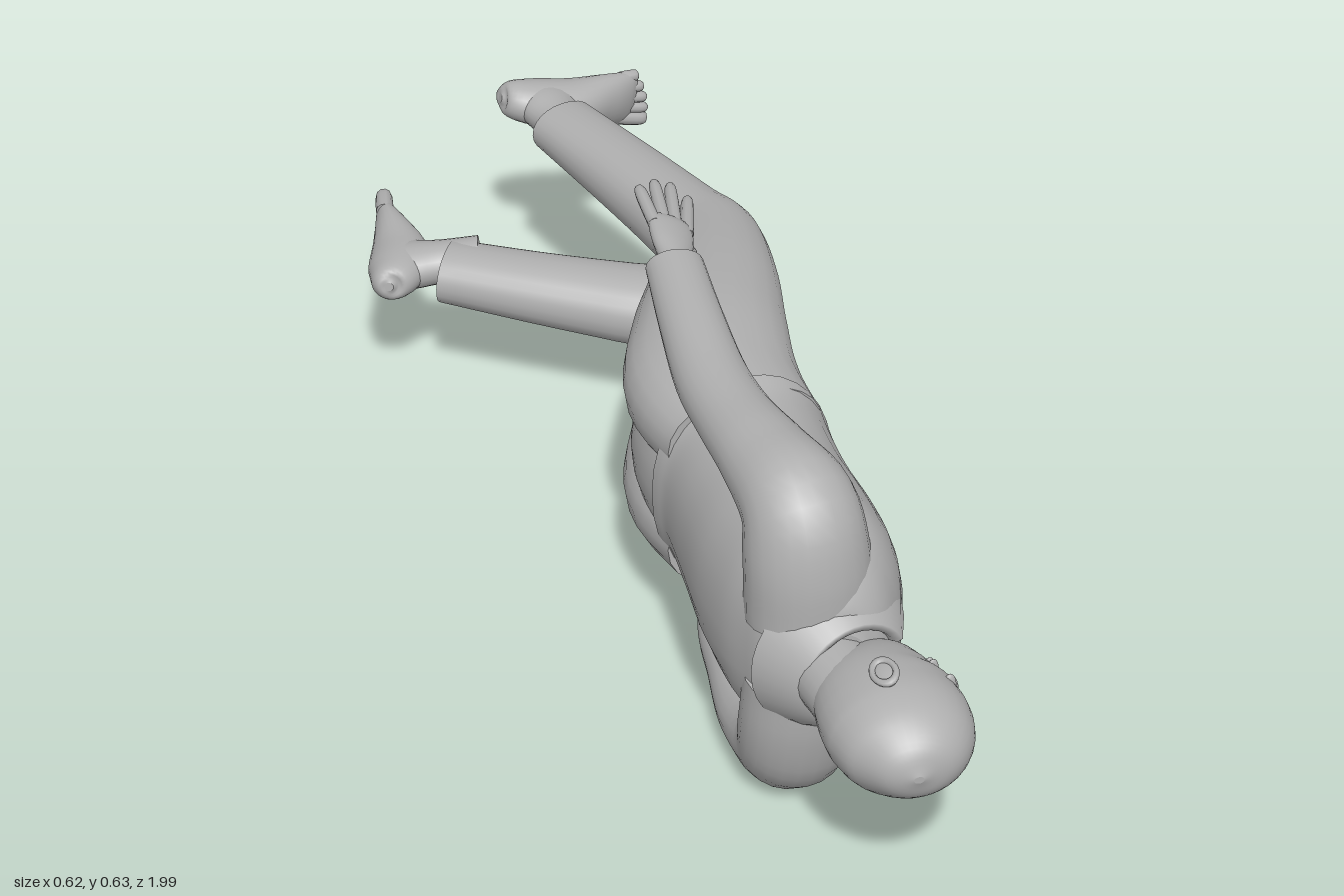
import * as THREE from 'three';

const grey = new THREE.MeshStandardMaterial({ color: 0xb0b0b0 });
grey.name = 'plain grey';
const greyOpen = grey.clone();
greyOpen.side = THREE.DoubleSide;
const V = (x, y, z) => new THREE.Vector3(x, y, z);
const AX = V(1, 0, 0), AY = V(0, 1, 0), AZ = V(0, 0, 1);

function mesh(name, geo, mat = grey) {
  const m = new THREE.Mesh(geo, mat);
  m.name = name;
  return m;
}

// Smooth skin through oval sections [x, y, z, radius along ref, radius across], capped at both ends
function loft(name, st, ref, sides = 24, steps = 5, pw = 1) {
  const path = new THREE.CatmullRomCurve3(st.map(s => V(s[0], s[1], s[2])), false, 'catmullrom');
  const size = new THREE.CatmullRomCurve3(st.map(s => V(s[3], s[4] ?? s[3], 0)), false, 'catmullrom');
  const n = (st.length - 1) * steps, pos = [], idx = [];
  const sp = v => Math.sign(v) * Math.abs(v) ** pw;
  for (let i = 0; i <= n; i++) {
    const c = path.getPoint(i / n), r = size.getPoint(i / n), t = path.getTangent(i / n);
    const u = ref.clone().addScaledVector(t, -ref.dot(t)).normalize(), v = t.clone().cross(u);
    for (let j = 0; j < sides; j++) {
      const a = j / sides * Math.PI * 2;
      const p = c.clone().addScaledVector(u, r.x * sp(Math.cos(a))).addScaledVector(v, r.y * sp(Math.sin(a)));
      pos.push(p.x, p.y, p.z);
      const k = (j + 1) % sides, A = i * sides, B = A + sides;
      if (i < n) idx.push(A + j, A + k, B + j, A + k, B + k, B + j);
    }
  }
  for (const end of [0, n]) {
    const base = pos.length / 3, c = path.getPoint(end / n);
    pos.push(...pos.slice(end * sides * 3, (end + 1) * sides * 3), c.x, c.y, c.z);
    for (let j = 0; j < sides; j++) {
      const k = (j + 1) % sides;
      idx.push(base + sides, base + (end ? j : k), base + (end ? k : j));
    }
  }
  const g = new THREE.BufferGeometry();
  g.setAttribute('position', new THREE.Float32BufferAttribute(pos, 3));
  g.setIndex(idx);
  g.computeVertexNormals();
  return mesh(name, g);
}

function ball(name, x, y, z, a, b, c) {
  const m = mesh(name, new THREE.SphereGeometry(1, 20, 14));
  m.position.set(x, y, z);
  m.scale.set(a, b, c);
  return m;
}

// Finger or toe with a rounded tip
function digit(name, a, b, r) {
  const at = (t, k) => [...a.clone().lerp(b, t).toArray(), r * k];
  return loft(name, [at(0, 1), at(0.5, 1), at(0.88, 0.85), at(1, 0.15)], AY, 10, 3);
}

// Place a group with its +x along dir and its +z nearest to wide
function orient(g, origin, dir, wide) {
  const X = dir.clone().normalize();
  const Z = wide.clone().addScaledVector(X, -wide.dot(X)).normalize();
  g.applyMatrix4(new THREE.Matrix4().makeBasis(X, Z.clone().cross(X), Z).setPosition(origin));
  return g;
}

// Hand: fingers along +x, thumb on +z, palm on the given y side
function makeHand(name, palm) {
  const g = new THREE.Group();
  g.name = name;
  g.add(loft('palm', [[-0.04, 0, 0, 0.026, 0.022], [0, 0, 0, 0.026, 0.02], [0.045, 0, 0, 0.036, 0.019],
    [0.09, 0, 0, 0.039, 0.016], [0.11, 0, 0, 0.034, 0.01]], AZ));
  [0.215, 0.238, 0.23, 0.195].forEach((len, i) => {
    const z = 0.029 - i * 0.019;
    g.add(digit('finger', V(0.085, 0, z), V(len, palm * 0.01, z * 1.6), 0.0112));
  });
  g.add(digit('thumbBase', V(0.015, palm * 0.008, 0.015), V(0.085, palm * 0.03, 0.048), 0.018));
  g.add(digit('thumb', V(0.065, palm * 0.024, 0.039), V(0.13, palm * 0.045, 0.056), 0.0118));
  return g;
}

// Foot: toes along +x, sole down, big toe on the given z side
function makeFoot(name, s) {
  const g = new THREE.Group();
  g.name = name;
  g.add(loft('sole', [[-0.088, -0.083, 0, 0.008], [-0.077, -0.083, 0, 0.03, 0.032], [-0.03, -0.073, 0, 0.039, 0.051],
    [0.04, -0.073, 0, 0.043, 0.051], [0.11, -0.09, 0, 0.051, 0.034], [0.155, -0.104, 0, 0.051, 0.02],
    [0.172, -0.108, 0, 0.044, 0.011]], AZ));
  g.add(loft('ankle', [[0, 0.07, 0, 0.039, 0.044], [-0.003, 0, 0, 0.037, 0.045], [-0.005, -0.05, 0, 0.039, 0.058],
    [0.005, -0.09, 0, 0.035, 0.066]], AZ));
  for (let i = 0; i < 5; i++) {
    const z = s * (0.037 - i * 0.0195);
    g.add(digit('toe', V(0.14, -0.103, z), V(0.21 - i * i * 0.0022, -0.11, z * 1.1), i ? 0.0115 : 0.0155));
  }
  return g;
}

function makeHead() {
  const g = new THREE.Group();
  g.name = 'head';
  g.add(loft('skull', [[0.118, 0.312, 0.7, 0.015, 0.02], [0.108, 0.312, 0.712, 0.036, 0.052], [0.088, 0.312, 0.745, 0.058, 0.08],
    [0.069, 0.312, 0.79, 0.075, 0.102], [0.063, 0.312, 0.84, 0.084, 0.11], [0.061, 0.312, 0.89, 0.086, 0.11],
    [0.055, 0.312, 0.94, 0.074, 0.094], [0.048, 0.312, 0.98, 0.045, 0.055], [0.046, 0.312, 0.997, 0.006, 0.008]], AY, 32));
  g.add(loft('neck', [[-0.005, 0.31, 0.6, 0.075, 0.075], [0.015, 0.31, 0.69, 0.062, 0.064],
    [0.035, 0.31, 0.79, 0.062, 0.072]], AY));
  g.add(loft('nose', [[0.16, 0.312, 0.85, 0.007, 0.008], [0.168, 0.312, 0.82, 0.009, 0.01],
    [0.171, 0.312, 0.8, 0.014, 0.014], [0.162, 0.312, 0.787, 0.011, 0.007]], AY, 12));
  g.add(ball('upperLip', 0.161, 0.312, 0.763, 0.01, 0.022, 0.005));
  g.add(ball('lowerLip', 0.159, 0.312, 0.754, 0.01, 0.019, 0.005));
  for (const s of [-1, 1]) {
    g.add(ball('eye', 0.15, 0.312 + s * 0.034, 0.83, 0.01, 0.013, 0.007));
    g.add(ball('brow', 0.152, 0.312 + s * 0.034, 0.848, 0.011, 0.024, 0.007));
    // Ear: flat lobe with a raised rim, swept outward
    const ear = new THREE.Group();
    ear.name = 'ear';
    ear.add(ball('earLobe', 0, 0, 0, 0.018, 0.007, 0.03));
    const rim = mesh('earRim', new THREE.TorusGeometry(0.017, 0.005, 8, 20));
    rim.rotation.x = Math.PI / 2;
    rim.scale.y = 1.5;
    rim.position.y = s * 0.004;
    ear.add(rim);
    ear.position.set(0.047, 0.31 + s * 0.09, 0.852);
    ear.rotation.z = s * 0.35;
    g.add(ear);
  }
  return g;
}

// Open shirt collar with two pointed flaps
function makeCollar() {
  const g = new THREE.Group();
  g.name = 'collar';
  const profile = [[0.07, 0.015], [0.078, 0.04], [0.09, 0.042], [0.116, 0.005], [0.135, -0.035]].map(p => new THREE.Vector2(...p));
  const ring = mesh('collarBand', new THREE.LatheGeometry(profile, 28, Math.PI / 2 + 0.45, Math.PI * 2 - 0.9), greyOpen);
  ring.rotation.x = Math.PI / 2;
  g.add(ring);
  for (const s of [-1, 1]) {
    const geo = new THREE.BufferGeometry().setFromPoints([
      V(0.08, s * 0.04, 0.04), V(0.105, s * 0.1, -0.01), V(0.138, s * 0.075, -0.07),
      V(0.08, s * 0.04, 0.04), V(0.138, s * 0.075, -0.07), V(0.128, s * 0.015, -0.045)]);
    geo.computeVertexNormals();
    g.add(mesh('collarFlap', geo, greyOpen));
  }
  g.position.set(0.045, 0.305, 0.685);
  g.rotation.y = 0.15;
  return g;
}

export function createModel() {
  const man = new THREE.Group();
  man.name = 'recliningMan';
  man.add(makeHead(), makeCollar());

  // Shirt
  man.add(loft('shirtBody', [[0.064, 0.312, 0.197, 0.193, 0.15], [0.062, 0.312, 0.25, 0.18, 0.144], [0.053, 0.312, 0.35, 0.181, 0.145],
    [0.045, 0.312, 0.47, 0.195, 0.15], [0.04, 0.31, 0.58, 0.21, 0.14], [0.03, 0.31, 0.655, 0.183, 0.112],
    [0.022, 0.31, 0.7, 0.12, 0.08], [0.02, 0.31, 0.715, 0.07, 0.06]], AY, 32, 5, 0.9));
  man.add(loft('leftSleeve', [[0.015, 0.37, 0.625, 0.1, 0.085], [0.01, 0.47, 0.622, 0.097, 0.084], [0.007, 0.535, 0.588, 0.088, 0.086],
    [-0.006, 0.556, 0.49, 0.073, 0.064], [-0.015, 0.558, 0.38, 0.062, 0.055], [-0.015, 0.563, 0.27, 0.058, 0.052],
    [0, 0.583, 0.13, 0.052, 0.044], [0.018, 0.602, 0, 0.047, 0.034]], AX));
  man.add(loft('rightSleeve', [[0.015, 0.25, 0.625, 0.1, 0.085], [0.01, 0.16, 0.612, 0.097, 0.084], [0.008, 0.09, 0.575, 0.088, 0.084],
    [-0.002, 0.074, 0.48, 0.073, 0.062], [0.006, 0.08, 0.38, 0.062, 0.054], [0.025, 0.086, 0.27, 0.058, 0.05],
    [0.085, 0.088, 0.13, 0.051, 0.042], [0.145, 0.086, 0, 0.044, 0.036]], AX));

  // Trousers
  man.add(loft('pelvis', [[0.061, 0.312, 0.24, 0.172, 0.136], [0.058, 0.312, 0.14, 0.182, 0.143],
    [0.066, 0.312, 0.05, 0.165, 0.134], [0.08, 0.312, -0.01, 0.1, 0.1], [0.085, 0.312, -0.03, 0.03, 0.04]], AY, 28));
  man.add(loft('leftTrouserLeg', [[0.06, 0.405, 0.22, 0.09, 0.13], [0.056, 0.408, 0.08, 0.096, 0.142], [0.1, 0.408, -0.06, 0.095, 0.13],
    [0.165, 0.397, -0.22, 0.086, 0.109], [0.209, 0.386, -0.37, 0.071, 0.09], [0.196, 0.382, -0.46, 0.063, 0.08],
    [0.155, 0.378, -0.64, 0.057, 0.07], [0.102, 0.377, -0.845, 0.045, 0.063]], AY, 24, 5, 0.93));
  man.add(loft('rightTrouserLeg', [[0.06, 0.218, 0.22, 0.09, 0.13], [0.056, 0.216, 0.08, 0.096, 0.142], [0.1, 0.214, -0.06, 0.092, 0.13],
    [0.168, 0.213, -0.22, 0.082, 0.106], [0.216, 0.216, -0.345, 0.073, 0.087], [0.187, 0.221, -0.425, 0.069, 0.085],
    [0.095, 0.226, -0.482, 0.063, 0.078], [-0.03, 0.233, -0.56, 0.057, 0.07], [-0.172, 0.241, -0.656, 0.05, 0.064]], AY, 24, 5, 0.93));

  // Hands and feet
  man.add(orient(makeHand('leftHand', -1), V(0.022, 0.605, -0.01), V(0.06, 0.015, -0.23), V(1, -0.45, 0)));
  man.add(orient(makeHand('rightHand', 1), V(0.15, 0.085, -0.01), V(0.125, -0.028, -0.2), V(0.75, 0.55, 0.3)));
  man.add(orient(makeFoot('leftFoot', 1), V(0.105, 0.37, -0.87), V(0.97, -0.22, 0.02), V(-0.2, -0.95, 0)));
  man.add(orient(makeFoot('rightFoot', -1), V(-0.178, 0.248, -0.68), V(0.34, -0.1, -0.93), V(0.1, -1, 0)));
  return man;
}
